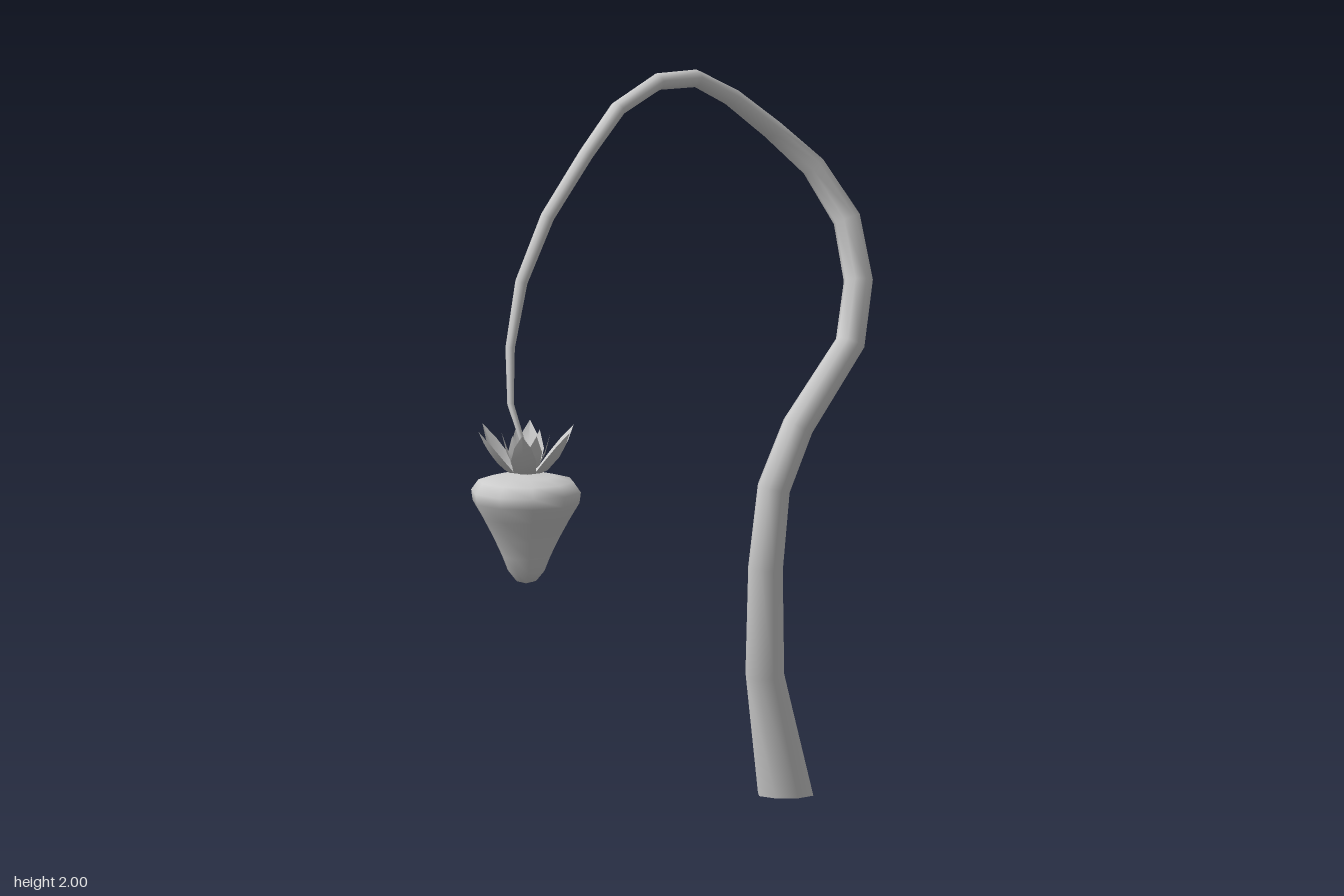
import * as THREE from 'three';

const grey = new THREE.MeshStandardMaterial({ color: 0xcccccc });
const thin = new THREE.MeshStandardMaterial({ color: 0xcccccc, side: THREE.DoubleSide });

function part(name, geometry, material = grey) {
  const mesh = new THREE.Mesh(geometry, material);
  mesh.name = name;
  return mesh;
}

// Quads between consecutive rows of points; closed rows wrap around.
function loft(rows, closed) {
  const n = rows[0].length, index = [];
  for (let i = 0; i < rows.length - 1; i++) {
    for (let j = 0; j < (closed ? n : n - 1); j++) {
      const a = i * n + j, b = i * n + (j + 1) % n;
      index.push(a, b, a + n, b, b + n, a + n);
    }
  }
  const g = new THREE.BufferGeometry().setFromPoints(rows.flat());
  g.setIndex(index);
  g.computeVertexNormals();
  return g;
}

// Stem centre line and radius: x, y, z, r
const stemPath = [
  [0.395, 0, -0.13, 0.079], [0.315, 0.34, -0.093, 0.055], [0.294, 0.635, -0.045, 0.049],
  [0.322, 0.85, -0.052, 0.046], [0.38, 1.02, -0.022, 0.044], [0.548, 1.23, -0.048, 0.041],
  [0.595, 1.39, -0.095, 0.04], [0.587, 1.55, -0.15, 0.038], [0.515, 1.69, -0.207, 0.033],
  [0.39, 1.80, -0.2, 0.029], [0.26, 1.90, -0.182, 0.026], [0.13, 1.968, -0.135, 0.024],
  [-0.01, 1.977, -0.08, 0.023], [-0.155, 1.922, -0.026, 0.022], [-0.272, 1.812, 0.018, 0.02],
  [-0.387, 1.65, 0.018, 0.019], [-0.457, 1.475, 0.002, 0.017], [-0.497, 1.30, 0.015, 0.013],
  [-0.515, 1.155, 0.055, 0.009], [-0.492, 1.05, 0.085, 0.007], [-0.488, 0.965, 0.095, 0.006],
];

// Tapered tube whose rings follow the path without twisting
function stemGeometry(sides = 8) {
  const pts = stemPath.map(([x, y, z]) => new THREE.Vector3(x, y, z));
  const last = pts.length - 1;
  const u = new THREE.Vector3(0, 0, 1);
  const rows = pts.map((p, i) => {
    const t = new THREE.Vector3(0, 1, 0);
    if (i > 0) {
      t.subVectors(p, pts[i - 1]).normalize();
      if (i < last) t.add(pts[i + 1].clone().sub(p).normalize()).normalize();
    }
    u.addScaledVector(t, -u.dot(t)).normalize();
    const v = new THREE.Vector3().crossVectors(t, u);
    return Array.from({ length: sides }, (_, j) => {
      const a = (j / sides) * Math.PI * 2, r = stemPath[i][3];
      return p.clone().addScaledVector(u, Math.cos(a) * r).addScaledVector(v, Math.sin(a) * r);
    });
  });
  return loft(rows, true);
}

// Pointed, cupped leaf reaching outward along +x; stations are r, y, half width, cup
function leafGeometry(stations) {
  return loft(stations.map(([r, y, w, cup]) => [
    new THREE.Vector3(r, y + cup, -w),
    new THREE.Vector3(r, y, 0),
    new THREE.Vector3(r, y + cup, w),
  ]), false);
}

function leafRing(name, count, offset, stations) {
  const ring = new THREE.Group();
  ring.name = name;
  const g = leafGeometry(stations);
  for (let i = 0; i < count; i++) {
    const leaf = part('leaf', g, thin);
    leaf.rotation.y = offset + (i / count) * Math.PI * 2;
    ring.add(leaf);
  }
  return ring;
}

export function createModel() {
  const model = new THREE.Group();
  model.name = 'hangingBerry';

  // Curved stem with its closed foot
  model.add(part('stem', stemGeometry()));
  const foot = part('stemFoot', new THREE.CircleGeometry(0.079, 8));
  foot.rotation.x = Math.PI / 2;
  foot.position.set(0.395, 0, -0.13);
  model.add(foot);

  // Hanging fruit
  const fruit = new THREE.Group();
  fruit.name = 'fruit';
  fruit.position.set(-0.488, 0, 0.095);
  const profile = [
    [0, 0.67], [0.028, 0.678], [0.05, 0.705], [0.066, 0.745], [0.09, 0.795],
    [0.12, 0.85], [0.146, 0.893], [0.15, 0.922], [0.13, 0.95], [0.08, 0.963], [0, 0.968],
  ].map(([r, y]) => new THREE.Vector2(r, y));
  const berry = part('berry', new THREE.LatheGeometry(profile, 10));
  berry.rotation.y = Math.PI / 2;
  fruit.add(berry);

  // Two rings of upturned leaves
  fruit.add(leafRing('outerLeaves', 6, 0, [
    [0.01, 0.968, 0.012, 0], [0.05, 0.975, 0.03, 0.004], [0.085, 1.003, 0.034, 0.014],
    [0.115, 1.042, 0.023, 0.014], [0.142, 1.093, 0, 0],
  ]));
  fruit.add(leafRing('innerLeaves', 6, Math.PI / 6, [
    [0.008, 0.97, 0.01, 0], [0.035, 0.99, 0.024, 0.006], [0.052, 1.025, 0.023, 0.008],
    [0.066, 1.08, 0, 0],
  ]));
  model.add(fruit);

  return model;
}
